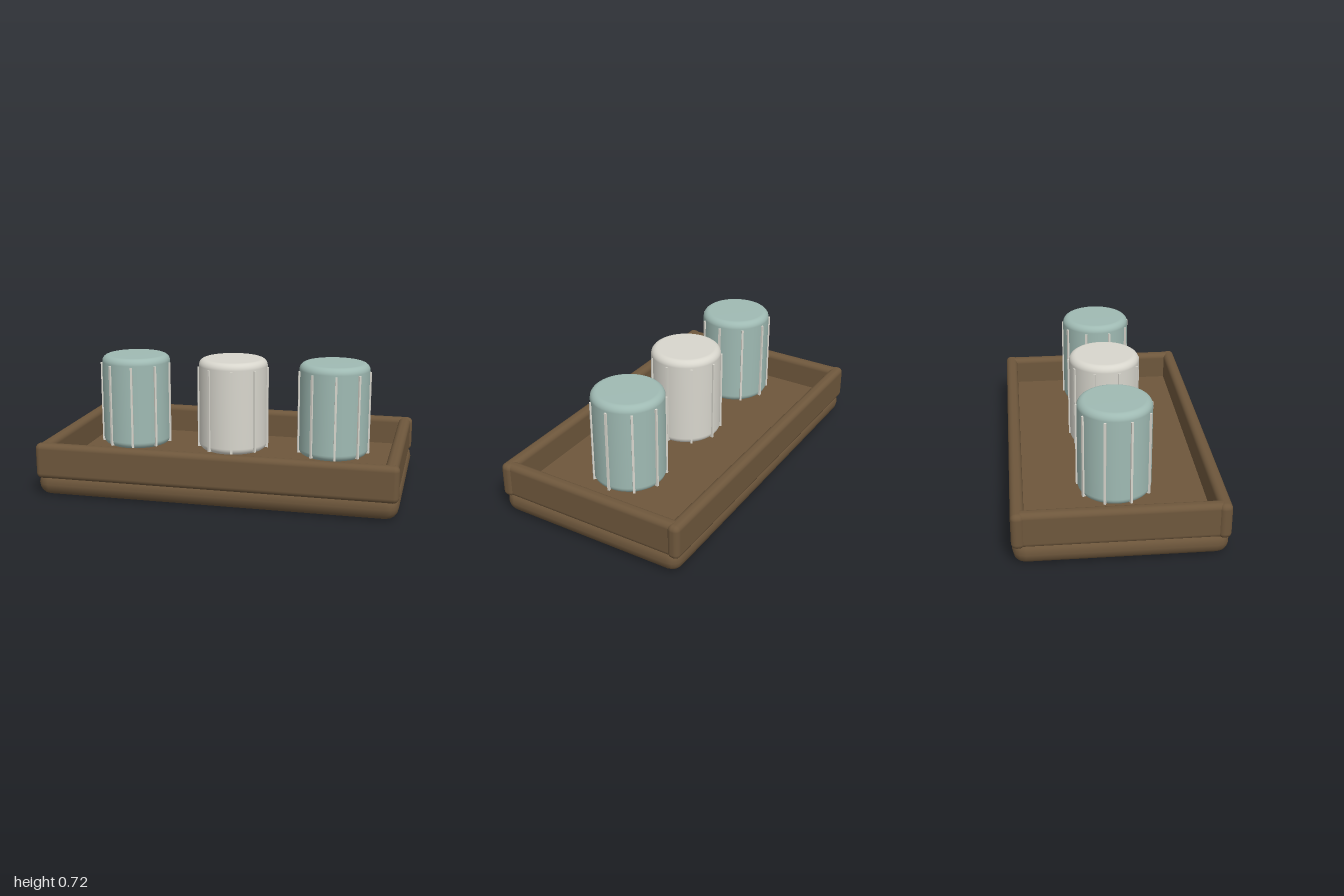
import * as THREE from 'three';
import { RoundedBoxGeometry } from 'three/addons/geometries/RoundedBoxGeometry.js';

function material(name, color) {
  const m = new THREE.MeshStandardMaterial({ color });
  m.name = name;
  return m;
}

export function createModel() {
  const model = new THREE.Group();
  model.name = 'knobTray';
  const wood = material('brownWood', 0x6e573c);
  const teal = material('paleTeal', 0x9fbab3);
  const cream = material('cream', 0xd8d6cd);

  function add(parent, name, geometry, mat, x = 0, y = 0, z = 0) {
    const mesh = new THREE.Mesh(geometry, mat);
    mesh.name = name;
    mesh.position.set(x, y, z);
    parent.add(mesh);
    return mesh;
  }

  // Pillow-edged base, whose top is the tray floor
  add(model, 'base', new RoundedBoxGeometry(2, 0.14, 1.11, 2, 0.068), wood, 0, 0.07, 0);

  // Rim rails: the long ones overlap the slightly recessed end ones
  for (const s of [-1, 1]) {
    add(model, s > 0 ? 'frontRail' : 'backRail',
      new RoundedBoxGeometry(2, 0.2, 0.07, 3, 0.03), wood, 0, 0.2, s * 0.525);
    add(model, s > 0 ? 'leftRail' : 'rightRail',
      new RoundedBoxGeometry(0.07, 0.2, 1.08, 3, 0.03), wood, s * 0.955, 0.2, 0);
  }

  // Knob profile, rounded at both ends
  const radius = 0.198, bottom = 0.195, top = 0.723, fillet = 0.038;
  const profile = [new THREE.Vector2(0, bottom)];
  for (const [centerY, start] of [[bottom + fillet, -Math.PI / 2], [top - fillet, 0]]) {
    for (let i = 0; i <= 6; i++) {
      const a = start + (i / 6) * Math.PI / 2;
      profile.push(new THREE.Vector2(
        radius - fillet + fillet * Math.cos(a), centerY + fillet * Math.sin(a)));
    }
  }
  profile.push(new THREE.Vector2(0, top));
  const knobGeometry = new THREE.LatheGeometry(profile, 48);
  const ribTop = 0.678, ribBottom = 0.207;
  const ribGeometry = new THREE.BoxGeometry(0.018, ribTop - ribBottom, 0.012);

  // Three knobs, each with nine grip ribs
  [['rightKnob', -0.585, teal], ['middleKnob', 0, cream], ['leftKnob', 0.585, teal]]
    .forEach(([name, x, mat]) => {
      const knob = new THREE.Group();
      knob.name = name;
      knob.position.x = x;
      add(knob, 'knobBody', knobGeometry, mat);
      for (let i = 0; i < 9; i++) {
        const a = (i / 9) * Math.PI * 2;
        const rib = add(knob, 'gripRib', ribGeometry, cream,
          radius * Math.cos(a), (ribTop + ribBottom) / 2, radius * Math.sin(a));
        rib.rotation.y = -a;
      }
      model.add(knob);
    });

  return model;
}
